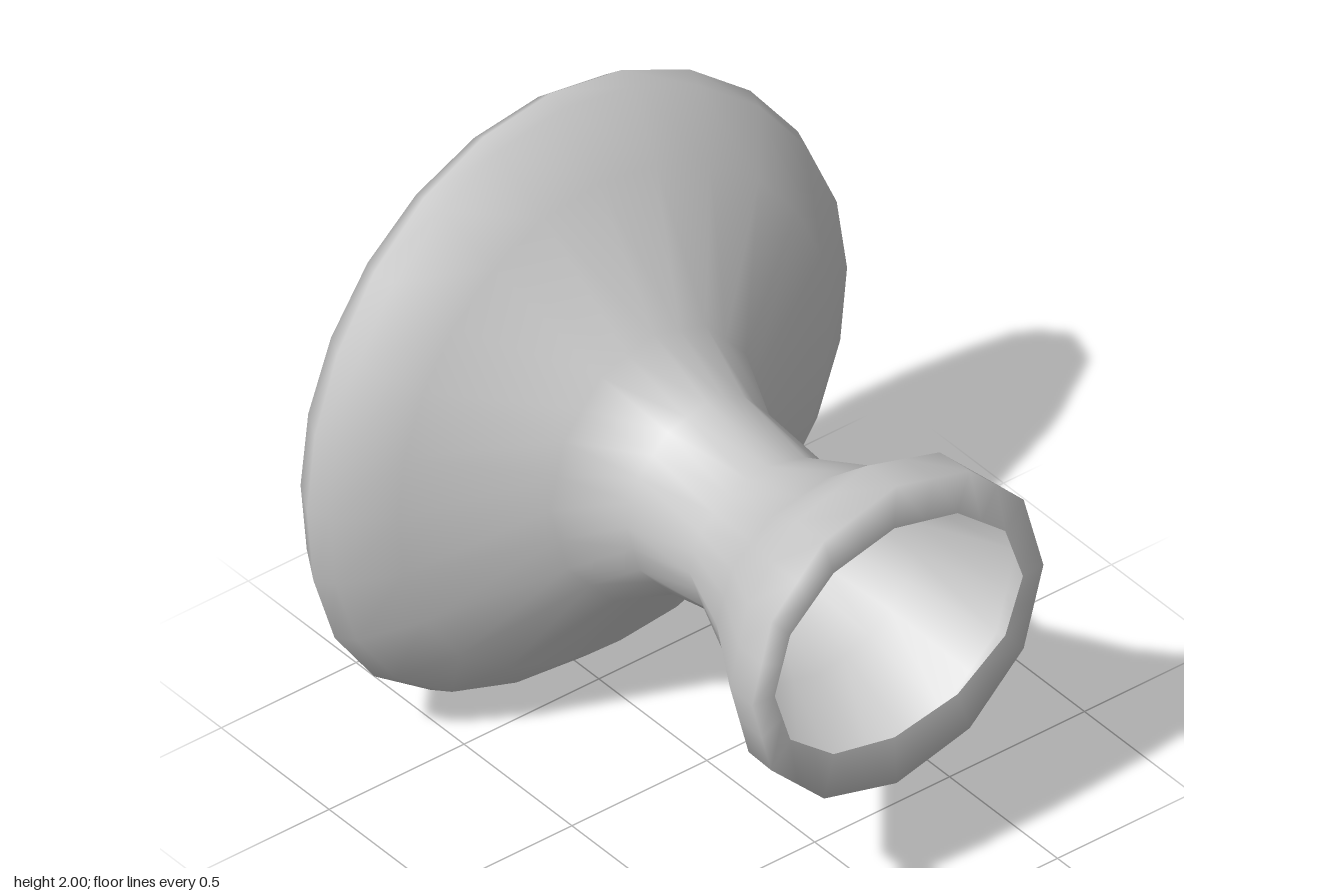
import * as THREE from 'three';

const SEG = 24;

// Each ring: [topZ, topY, sideZ, halfWidth, bottomZ, bottomY]
const CUP = [
  [0.87, 1.36, 0.89, 0.46, 0.87, 0.60], // inner lip
  [0.88, 1.52, 0.885, 0.54, 0.88, 0.44], // outer lip
  [0.74, 1.51, 0.77, 0.53, 0.76, 0.435],
  [0.55, 1.35, 0.52, 0.38, 0.52, 0.62],
  [0.28, 1.235, 0.27, 0.28, 0.33, 0.715], // waist
  [0.00, 1.30, -0.02, 0.28, 0.02, 0.635],
  [-0.25, 1.40, -0.24, 0.39, -0.17, 0.50], // collar
];
const DISC = [
  [-0.50, 1.80, -0.43, 0.80, -0.40, 0.20],
  [-0.66, 1.98, -0.55, 0.96, -0.57, 0.04],
  [-0.72, 2.00, -0.62, 0.985, -0.66, 0.00], // widest edge
  [-0.78, 1.95, -0.72, 0.93, -0.74, 0.08],
  [-0.83, 1.75, -0.79, 0.77, -0.83, 0.25],
  [-0.875, 1.30, -0.86, 0.46, -0.88, 0.50],
];
const BACK_CENTRE = [0, 0.92, -0.9];

// One point of a ring; the lower half of the disc is slightly squarer
function ringPoint([tz, ty, sz, hw, bz, by], a, bulge) {
  const c = Math.cos(a), s = Math.sin(a);
  const mid = (ty + by) / 2;
  const k = s < 0 ? 1 + bulge * Math.sin(2 * a) ** 2 : 1;
  const endZ = s > 0 ? tz : bz;
  return new THREE.Vector3(c * hw * k, mid + s * k * (ty - by) / 2, sz + s * s * (endZ - sz));
}

// A full ring; coarse rings put every second point on the chord, giving 12 sides
function makeRing(spec, coarse) {
  const at = (j) => ringPoint(spec, (j / SEG) * Math.PI * 2, coarse ? 0 : 0.035);
  return Array.from({ length: SEG }, (_, j) =>
    coarse && j % 2 ? at(j - 1).lerp(at(j + 1), 0.5) : at(j));
}

export function createModel() {
  const group = new THREE.Group();
  group.name = 'knob';

  const rings = [
    ...CUP.map((r) => makeRing(r, true)),
    ...DISC.map((r) => makeRing(r, false)),
  ];
  const positions = rings.flat().flatMap((p) => [p.x, p.y, p.z]);
  const index = [];
  for (let i = 0; i < rings.length - 1; i++) {
    for (let j = 0; j < SEG; j++) {
      const n = (j + 1) % SEG;
      const a = i * SEG + j, b = i * SEG + n;
      const c = a + SEG, d = b + SEG;
      index.push(a, c, d, a, d, b);
    }
  }
  // Close the back of the disc with a shallow fan
  const last = (rings.length - 1) * SEG;
  const centre = rings.length * SEG;
  positions.push(...BACK_CENTRE);
  for (let j = 0; j < SEG; j++) index.push(last + j, centre, last + ((j + 1) % SEG));

  const geometry = new THREE.BufferGeometry();
  geometry.setAttribute('position', new THREE.Float32BufferAttribute(positions, 3));
  geometry.setIndex(index);
  geometry.computeVertexNormals();

  // Hollow shell, open at the cup
  const material = new THREE.MeshStandardMaterial({ color: 0xcccccc, side: THREE.DoubleSide });
  const shell = new THREE.Mesh(geometry, material);
  shell.name = 'hollowShell';
  group.add(shell);
  return group;
}
